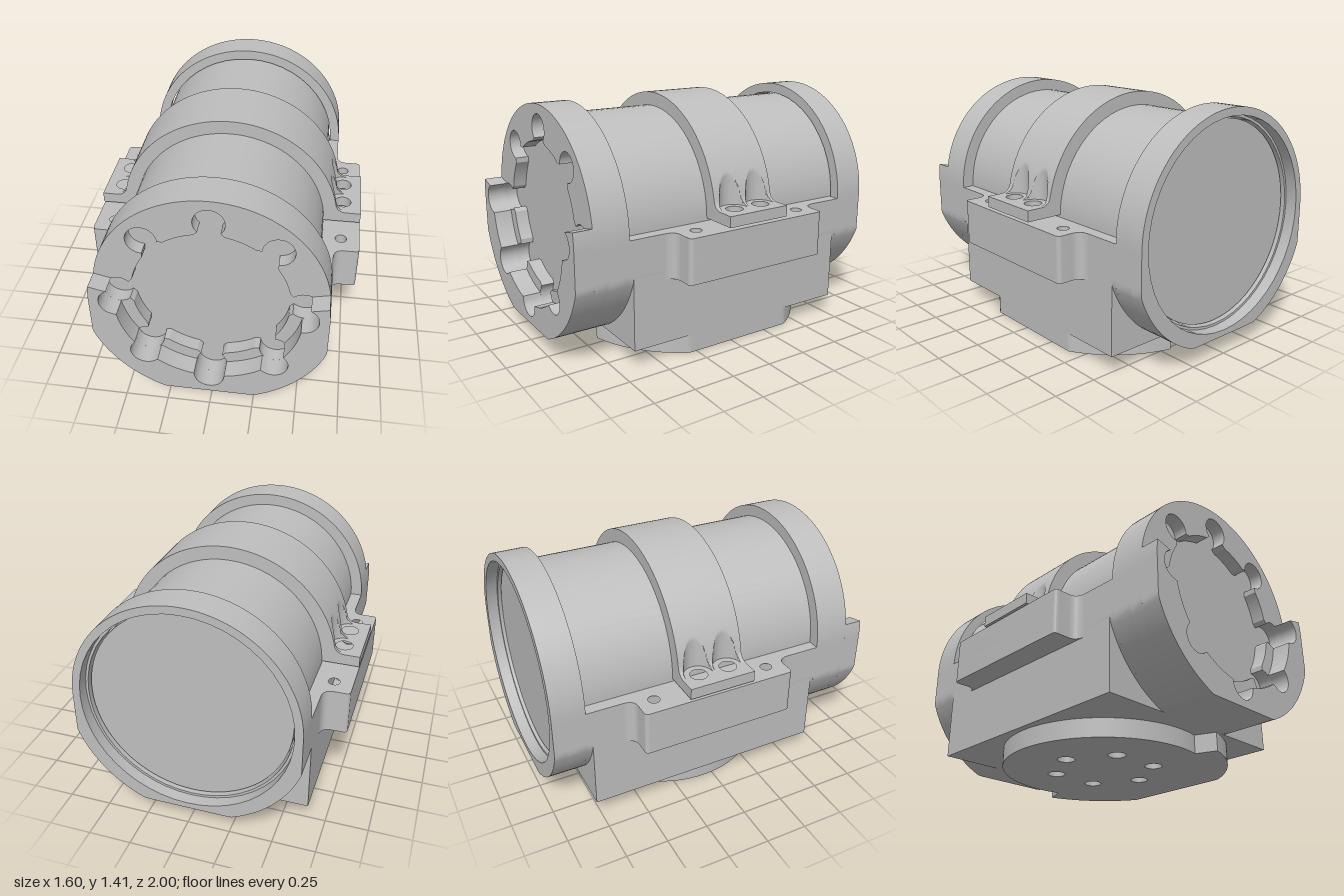
import * as THREE from 'three';
import { toCreasedNormals } from 'three/addons/utils/BufferGeometryUtils.js';

const CY = 0.75; // height of the housing axis
const LOBE_R = 0.085, LOBE_D = 0.51; // lobe radius and distance from the axis
const V = (x, y) => new THREE.Vector2(x, y);

// Sample a closed polar outline r(angle) around (0, cy)
function polar(r, cy = CY, a0 = 0, a1 = Math.PI * 2, n = 128) {
  const pts = [];
  for (let i = 0; i <= n; i++) {
    const a = a0 + ((a1 - a0) * i) / n;
    pts.push(V(r(a) * Math.cos(a), cy + r(a) * Math.sin(a)));
  }
  return pts;
}

// Round on top, flat sides and flat bottom below
const outer = (a) => Math.sin(a) >= 0 ? 0.65
  : Math.min(0.69, 0.65 / Math.max(Math.abs(Math.cos(a)), 1e-4), 0.64 / Math.abs(Math.sin(a)));

// Wide opening with eight shallow lobes
const lobedLip = (a) => {
  const step = Math.PI / 4;
  const d = a - Math.round(a / step) * step;
  const q = LOBE_R ** 2 - (LOBE_D * Math.sin(d)) ** 2;
  return q > 0 ? Math.max(0.51, LOBE_D * Math.cos(d) + Math.sqrt(q)) : 0.51;
};

// Narrow opening with eight lobes on flared necks
function lobedRecess() {
  const pts = [];
  for (let k = 0; k < 8; k++) {
    const rot = (k * Math.PI) / 4;
    const put = (x, y) => pts.push(V(x, y).rotateAround(V(0, 0), rot).add(V(0, CY)));
    for (let i = 0; i <= 24; i++) {
      const a = (-1 + i / 12) * 2.35;
      put(LOBE_D + LOBE_R * Math.cos(a), LOBE_R * Math.sin(a));
    }
    for (let i = 0; i <= 10; i++) {
      const a = 0.19 + (i / 10) * (Math.PI / 4 - 0.38);
      put(0.437 * Math.cos(a), 0.437 * Math.sin(a));
    }
  }
  return new THREE.Path(pts);
}

function circlePath(x, y, r) {
  const p = new THREE.Path();
  p.absarc(x, y, r, 0, Math.PI * 2, true);
  return p;
}

export function createModel() {
  const group = new THREE.Group();
  const grey = new THREE.MeshStandardMaterial({ color: 0xbebebe });
  grey.name = 'machinedGrey';

  const add = (name, geo) => {
    const m = new THREE.Mesh(toCreasedNormals(geo, 0.55), grey);
    m.name = name;
    group.add(m);
  };
  const extrude = (shape, depth) =>
    new THREE.ExtrudeGeometry(shape, { depth, bevelEnabled: false, curveSegments: 24 });
  // Extruded along z
  const alongZ = (name, shape, z0, z1) => add(name, extrude(shape, z1 - z0).translate(0, 0, z0));
  // Extruded upward; shape y is -z
  const upward = (name, shape, y0, y1) =>
    add(name, extrude(shape, y1 - y0).rotateX(-Math.PI / 2).translate(0, y0, 0));

  // Inner tube
  add('innerTube', new THREE.CylinderGeometry(0.58, 0.58, 1.7, 72)
    .rotateX(Math.PI / 2).translate(0, CY, -0.06));

  // Cradle body and its rounded ends
  add('cradleBody', new THREE.BoxGeometry(1.3, 0.64, 1.44).translate(0, 0.43, -0.06));
  alongZ('cradleCore', new THREE.Shape(polar(outer, CY, Math.PI, Math.PI * 2, 96)), -0.81, 0.68);

  // Back collar with stepped round recess
  for (const [name, r, z0, z1] of [['backRim', 0.605, -1, -0.93], ['backCollar', 0.59, -0.93, -0.81]]) {
    const ring = new THREE.Shape(polar(outer));
    ring.holes.push(circlePath(0, CY, r));
    alongZ(name, ring, z0, z1);
  }

  // Front collar: solid plate, then a ring with lobed recess
  alongZ('frontPlate', new THREE.Shape(polar(outer)), 0.68, 0.81);
  const front = new THREE.Shape(polar(outer));
  front.holes.push(lobedRecess());
  alongZ('frontCollar', front, 0.81, 0.89);

  // Lower front lip, open at the top
  const aOut = Math.asin(0.1 / 0.65), aIn = 0.14;
  alongZ('frontLip', new THREE.Shape([
    ...polar(outer, CY, Math.PI - aOut, Math.PI * 2 + aOut, 128),
    ...polar(lobedLip, CY, Math.PI - aIn, Math.PI * 2 + aIn, 240).reverse(),
  ]), 0.89, 1);

  // Base plate: disc with a wider clipped sector and six holes
  const keyAngle = Math.acos(0.18 / 0.74);
  const base = new THREE.Shape(polar((a) => {
    const d = Math.abs(Math.atan2(Math.sin(a), Math.cos(a)));
    return d < keyAngle ? Math.min(0.74, 0.65 / Math.cos(d)) : 0.61;
  }, 0.055, 0, Math.PI * 2, 240));
  for (let i = 0; i < 6; i++) {
    const a = (i * Math.PI) / 3;
    base.holes.push(circlePath(0.305 * Math.cos(a), 0.055 + 0.305 * Math.sin(a), 0.052));
  }
  upward('basePlate', base, 0, 0.11);

  const screwZ = [-0.155, 0.03];
  for (const s of [1, -1]) {
    const side = s > 0 ? 'left' : 'right';
    // Side flange of the cradle with filleted ends and blind holes
    const f = new THREE.Shape();
    f.moveTo(s * 0.6, -0.46);
    f.lineTo(s * 0.65, -0.46);
    f.quadraticCurveTo(s * 0.655, -0.4, s * 0.71, -0.4);
    f.lineTo(s * 0.775, -0.4);
    f.quadraticCurveTo(s * 0.8, -0.4, s * 0.8, -0.375);
    f.lineTo(s * 0.8, 0.505);
    f.quadraticCurveTo(s * 0.8, 0.53, s * 0.775, 0.53);
    f.lineTo(s * 0.71, 0.53);
    f.quadraticCurveTo(s * 0.655, 0.53, s * 0.65, 0.59);
    f.lineTo(s * 0.6, 0.59);
    upward(side + 'CradleFlange', f, 0.485, 0.6);
    for (const z of [-0.43, 0.29, ...screwZ]) f.holes.push(circlePath(s * 0.69, -z, 0.034));
    upward(side + 'CradleFlangeTop', f, 0.6, 0.75);

    // Foot of the clamp strap
    const c = new THREE.Shape([V(s * 0.56, -0.14), V(s * 0.8, -0.14), V(s * 0.8, 0.26), V(s * 0.56, 0.26)]);
    for (const z of screwZ) c.holes.push(circlePath(s * 0.69, -z, 0.05));
    upward(side + 'StrapFoot', c, 0.765, 0.83);
  }

  // Strap profile: fillet, then arc over the tube, mirrored
  const half = [];
  for (let i = 0; i <= 8; i++) {
    const a = -Math.PI / 2 - (i / 8) * (Math.PI / 2 - 0.196);
    half.push(V(0.7063 + 0.06 * Math.cos(a), 0.89 + 0.06 * Math.sin(a)));
  }
  for (let i = 1; i <= 64; i++) {
    const a = 0.196 + (i / 64) * (Math.PI / 2 - 0.196);
    half.push(V(0.66 * Math.cos(a), CY + 0.66 * Math.sin(a)));
  }
  const profile = [...half, ...half.slice(0, -1).reverse().map((p) => V(-p.x, p.y))];

  // Strap surface, pushed in by vertical screw pockets
  const pocket = (z) => {
    for (const c of screwZ) {
      const q = 0.085 ** 2 - (z - c) ** 2;
      if (q > 0) return 0.69 - Math.sqrt(q);
    }
    return 1;
  };
  const cols = 80, pos = [], idx = [];
  profile.forEach((p, i) => {
    for (let j = 0; j <= cols; j++) {
      const z = -0.26 + (0.4 * j) / cols;
      pos.push(Math.sign(p.x) * Math.min(Math.abs(p.x), pocket(z)), p.y, z);
      if (i && j) {
        const d = i * (cols + 1) + j, b = d - cols - 1;
        idx.push(b - 1, d - 1, b, b, d - 1, d);
      }
    }
  });
  const strap = new THREE.BufferGeometry();
  strap.setAttribute('position', new THREE.Float32BufferAttribute(pos, 3));
  strap.setIndex(idx);
  add('clampStrap', strap);

  // Strap end faces
  const cap = new THREE.Shape([V(-0.7063, 0.765), V(0.7063, 0.765), ...profile]);
  add('strapFrontFace', new THREE.ShapeGeometry(cap).translate(0, 0, 0.14));
  add('strapBackFace', new THREE.ShapeGeometry(cap).rotateY(Math.PI).translate(0, 0, -0.26));

  return group;
}
